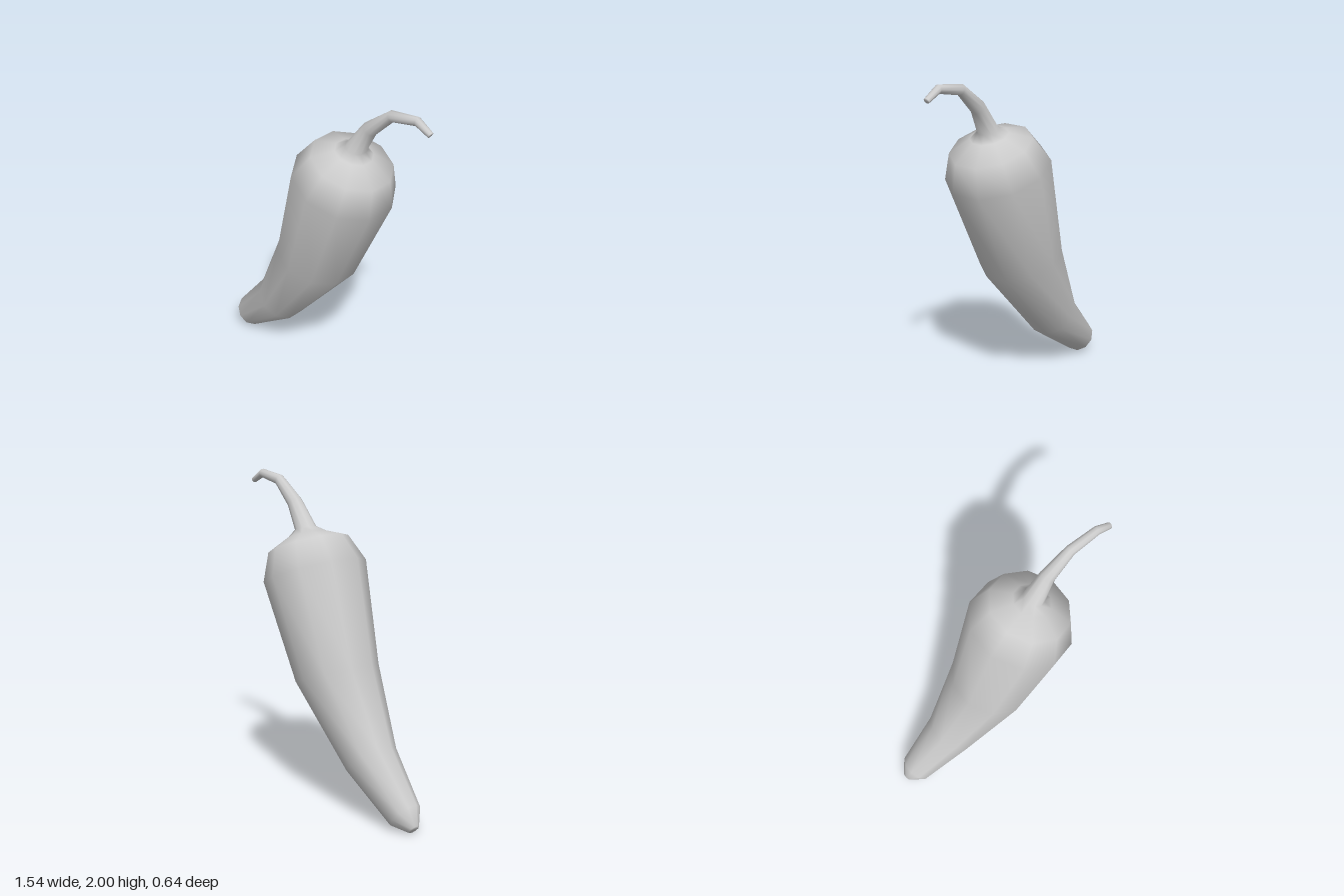
import * as THREE from 'three';

const SIDES = 10;

// Cross-sections from tip to stem end: left x, y, right x, y, half depth, z offset
const SECTIONS = [
  [-0.775, 0.055, -0.735, 0.004, 0.036, 0],
  [-0.74, 0.168, -0.62, 0.014, 0.103, 0],
  [-0.495, 0.455, -0.26, 0.255, 0.163, 0],
  [-0.285, 0.905, 0.175, 0.74, 0.258, 0],
  [-0.125, 1.525, 0.445, 1.315, 0.319, 0],
  [0.0, 1.66, 0.445, 1.495, 0.25, 0],
  [0.13, 1.67, 0.34, 1.605, 0.116, 0],
  [0.19, 1.69, 0.305, 1.655, 0.067, -0.002],
  [0.31, 1.85, 0.375, 1.79, 0.047, -0.01],
  [0.48, 1.975, 0.505, 1.917, 0.033, -0.014],
  [0.67, 2.0, 0.67, 1.95, 0.027, -0.013],
  [0.77, 1.94, 0.754, 1.91, 0.02, -0.013],
];
const STEM_START = 7;

export function createModel() {
  const group = new THREE.Group();
  const material = new THREE.MeshStandardMaterial({ color: 0xcccccc });
  const positions = [];

  // Ten-sided rings, turned half a step so a flat faces each side
  const reach = Math.cos(Math.PI / SIDES);
  for (const [lx, ly, rx, ry, depth, z] of SECTIONS) {
    for (let j = 0; j < SIDES; j++) {
      const a = ((j + 0.5) / SIDES) * Math.PI * 2;
      const t = Math.cos(a) / reach / 2;
      positions.push(
        (lx + rx) / 2 + (rx - lx) * t,
        (ly + ry) / 2 + (ry - ly) * t,
        z + depth * Math.sin(a),
      );
    }
  }

  // Centre points that close both ends
  const last = SECTIONS.length - 1;
  const tip = positions.length / 3;
  for (const s of [SECTIONS[0], SECTIONS[last]]) {
    positions.push((s[0] + s[2]) / 2, (s[1] + s[3]) / 2, s[5]);
  }

  const skin = (from, to) => {
    const index = [];
    for (let i = from; i < to; i++) {
      for (let j = 0; j < SIDES; j++) {
        const k = (j + 1) % SIDES;
        const a = i * SIDES + j, b = i * SIDES + k;
        index.push(a, a + SIDES, b + SIDES, a, b + SIDES, b);
      }
    }
    return index;
  };
  const cap = (ring, centre, up) => {
    const index = [];
    for (let j = 0; j < SIDES; j++) {
      const a = ring * SIDES + j, b = ring * SIDES + ((j + 1) % SIDES);
      index.push(centre, up ? b : a, up ? a : b);
    }
    return index;
  };

  const bodyIndex = [...cap(0, tip, false), ...skin(0, STEM_START)];
  const stemIndex = [...skin(STEM_START, last), ...cap(last, tip + 1, true)];

  // Normals run smoothly across the joint between body and stem
  const whole = new THREE.BufferGeometry();
  whole.setAttribute('position', new THREE.Float32BufferAttribute(positions, 3));
  whole.setIndex([...bodyIndex, ...stemIndex]);
  whole.computeVertexNormals();

  for (const [name, index] of [['pepperBody', bodyIndex], ['stem', stemIndex]]) {
    const geometry = whole.clone();
    geometry.setIndex(index);
    const mesh = new THREE.Mesh(geometry, material);
    mesh.name = name;
    group.add(mesh);
  }
  return group;
}
